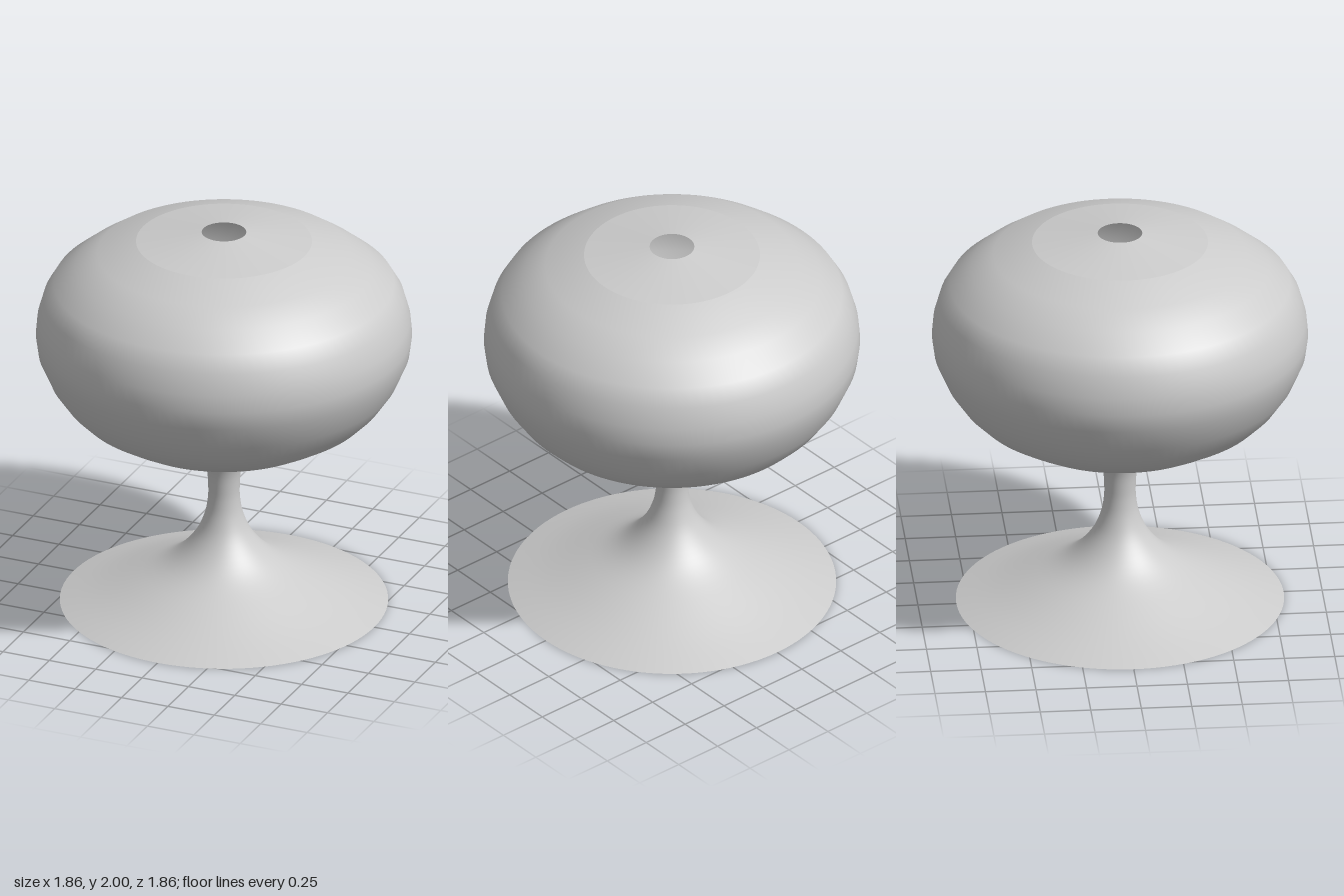
import * as THREE from 'three';

const material = new THREE.MeshStandardMaterial({ color: 0xcccccc, side: THREE.DoubleSide });
const toPoints = (pairs) => pairs.map(([r, y]) => new THREE.Vector2(r, y));

// Thin shell of revolution; the profile runs from bottom to top
function shell(name, points) {
  const mesh = new THREE.Mesh(new THREE.LatheGeometry(points, 96), material);
  mesh.name = name;
  return mesh;
}

export function createModel() {
  const group = new THREE.Group();
  group.name = 'pedestalVessel';

  // Flared foot sweeping up into a narrow hollow stem, open at both ends
  const stemCurve = new THREE.SplineCurve(toPoints([
    [0.81, 0], [0.64, 0.06], [0.47, 0.13], [0.31, 0.205], [0.21, 0.28], [0.135, 0.375],
    [0.095, 0.47], [0.08, 0.55], [0.078, 0.62], [0.085, 0.71], [0.11, 0.79],
    [0.15, 0.86], [0.17, 0.885],
  ]));
  group.add(shell('pedestal', stemCurve.getPoints(40)));

  // Hollow rounded body, tucked in slightly around the stem
  group.add(shell('body', toPoints([
    [0.17, 0.885], [0.22, 0.865], [0.286, 0.86], [0.42, 0.9], [0.55, 0.95], [0.63, 0.995],
    [0.72, 1.05], [0.79, 1.12], [0.857, 1.217], [0.915, 1.35], [0.928, 1.445],
    [0.92, 1.535], [0.89, 1.64], [0.84, 1.725], [0.735, 1.81], [0.624, 1.885], [0.434, 1.95],
  ])));

  // Shallow conical cap with a round opening in the middle
  group.add(shell('cap', toPoints([[0.434, 1.95], [0.11, 2]])));

  return group;
}
